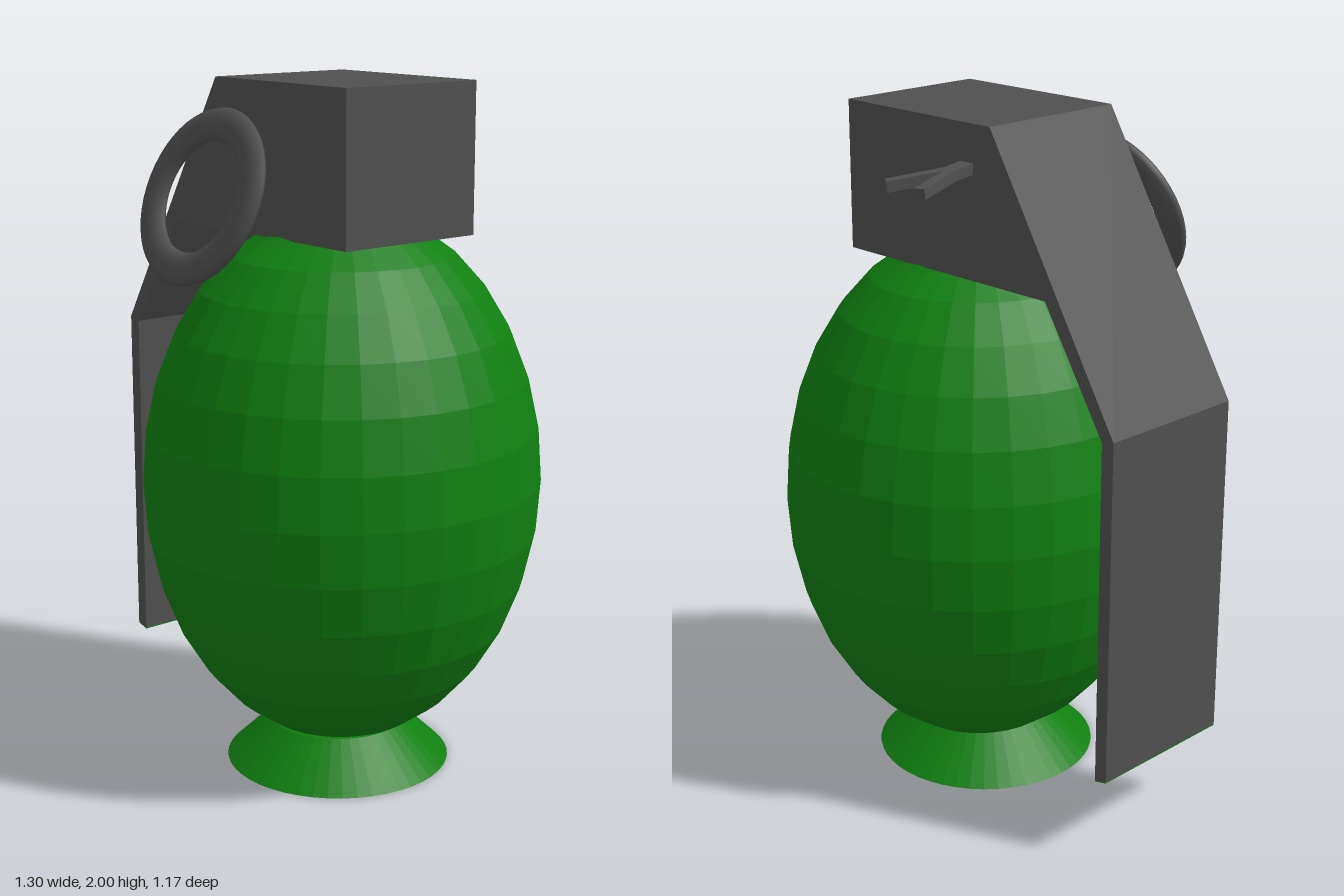
import * as THREE from 'three';

export function createModel() {
  const model = new THREE.Group();
  const bodyGreen = new THREE.MeshStandardMaterial({ color: 0x108010, flatShading: true });
  bodyGreen.name = 'facetedGreen';
  const metalGrey = new THREE.MeshStandardMaterial({ color: 0x505050 });
  metalGrey.name = 'metalGrey';

  const add = (name, geometry, material) => {
    const mesh = new THREE.Mesh(geometry, material);
    mesh.name = name;
    model.add(mesh);
    return mesh;
  };
  const outline = (points) => new THREE.Shape(points.map(([x, y]) => new THREE.Vector2(x, y)));
  const extrude = (points, depth) =>
    new THREE.ExtrudeGeometry(outline(points), { depth, bevelEnabled: false });

  // Egg-shaped faceted body
  const body = add('body', new THREE.SphereGeometry(1, 32, 16), bodyGreen);
  body.scale.set(0.563, 0.785, 0.585);
  body.position.set(0.083, 0.86, 0);

  // Flared foot
  const foot = add('foot', new THREE.CylinderGeometry(0.2, 0.33, 0.125, 48), bodyGreen);
  foot.position.set(0.083, 0.0625, 0.017);

  // Head block and bent lever share one side profile
  const head = add('headAndLever', extrude([
    [0.365, 1.575], [0.365, 2], [-0.2, 2], [-0.655, 1.25], [-0.655, 0.25],
    [-0.615, 0.24], [-0.615, 1.24], [-0.405, 1.575],
  ], 0.465), metalGrey);
  head.position.z = -0.235;

  // Green end face of the lever
  const leverEnd = add('leverEnd', extrude([
    [-0.655, 0.25], [-0.655, 0.247], [-0.615, 0.237], [-0.615, 0.24],
  ], 0.465), bodyGreen);
  leverEnd.position.z = -0.235;

  // Flattened pull ring, leaning against the front of the head
  const ring = add('pullRing', new THREE.TorusGeometry(0.209, 0.048, 12, 48), metalGrey);
  ring.scale.z = 0.5;
  ring.rotation.x = -0.385;
  ring.position.set(-0.115, 1.682, 0.347);

  // Split pin at the back, drawn from above and tilted slightly down
  const pinGeometry = extrude([
    [-0.138, -0.02], [-0.09, -0.02], [-0.09, 0.06], [-0.025, 0.207], [-0.05, 0.225],
    [-0.115, 0.08], [-0.155, 0.225], [-0.183, 0.212], [-0.138, 0.06],
  ], 0.03).rotateX(-Math.PI / 2);
  const pin = add('splitPin', pinGeometry, metalGrey);
  pin.rotation.x = -0.12;
  pin.position.set(0, 1.865, -0.235);

  return model;
}
